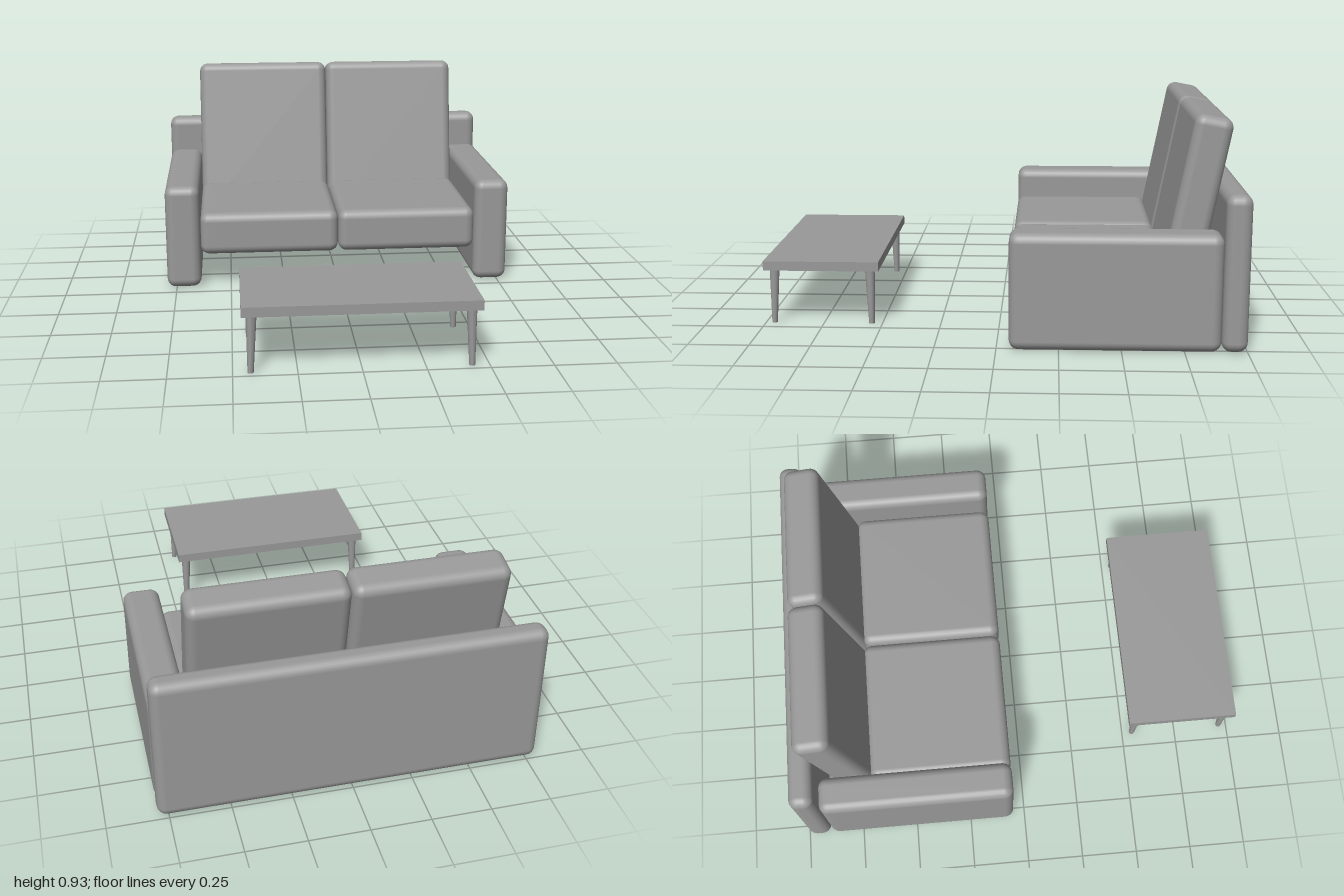
import * as THREE from 'three';
import { RoundedBoxGeometry } from 'three/addons/geometries/RoundedBoxGeometry.js';

export function createModel() {
  const model = new THREE.Group();
  model.name = 'sofaAndTable';
  const grey = new THREE.MeshStandardMaterial({ color: 0x999999 });
  grey.name = 'grey';

  function add(parent, name, geometry, x, y, z) {
    const mesh = new THREE.Mesh(geometry, grey);
    mesh.name = name;
    mesh.position.set(x, y, z);
    parent.add(mesh);
    return mesh;
  }
  // Soft padded block
  const pad = (w, h, d) => new RoundedBoxGeometry(w, h, d, 3, 0.04);

  const sofa = new THREE.Group();
  sofa.name = 'sofa';
  model.add(sofa);
  add(sofa, 'backPanel', pad(1.59, 0.637, 0.104), 0, 0.32, -0.948);

  for (const [side, s] of [['left', 1], ['right', -1]]) {
    add(sofa, side + 'Arm', pad(0.157, 0.478, 0.845), s * 0.715, 0.24, -0.473);
    add(sofa, side + 'SeatCushion', pad(0.634, 0.195, 0.63), s * 0.318, 0.253, -0.365);
    // Back cushion leans against the panel, behind the seat
    const back = add(sofa, side + 'BackCushion', pad(0.634, 0.765, 0.157), s * 0.318, 0.546, -0.7935);
    back.rotation.x = -0.19;
  }

  const table = new THREE.Group();
  table.name = 'coffeeTable';
  model.add(table);
  add(table, 'tableTop', new THREE.BoxGeometry(0.93, 0.04, 0.49), 0, 0.256, 0.755);

  // Tapered legs, splayed slightly outward
  const legHeight = 0.236;
  for (const sx of [-1, 1]) {
    for (const sz of [-1, 1]) {
      const leg = new THREE.CylinderGeometry(0.021, 0.012, legHeight, 12);
      const p = leg.attributes.position;
      for (let i = 0; i < p.count; i++) {
        const drop = 0.5 - p.getY(i) / legHeight;
        p.setX(i, p.getX(i) + sx * 0.006 * drop);
        p.setZ(i, p.getZ(i) + sz * 0.005 * drop);
      }
      leg.computeVertexNormals();
      add(table, 'tableLeg', leg, sx * 0.425, legHeight / 2, 0.755 + sz * 0.204);
    }
  }
  return model;
}
